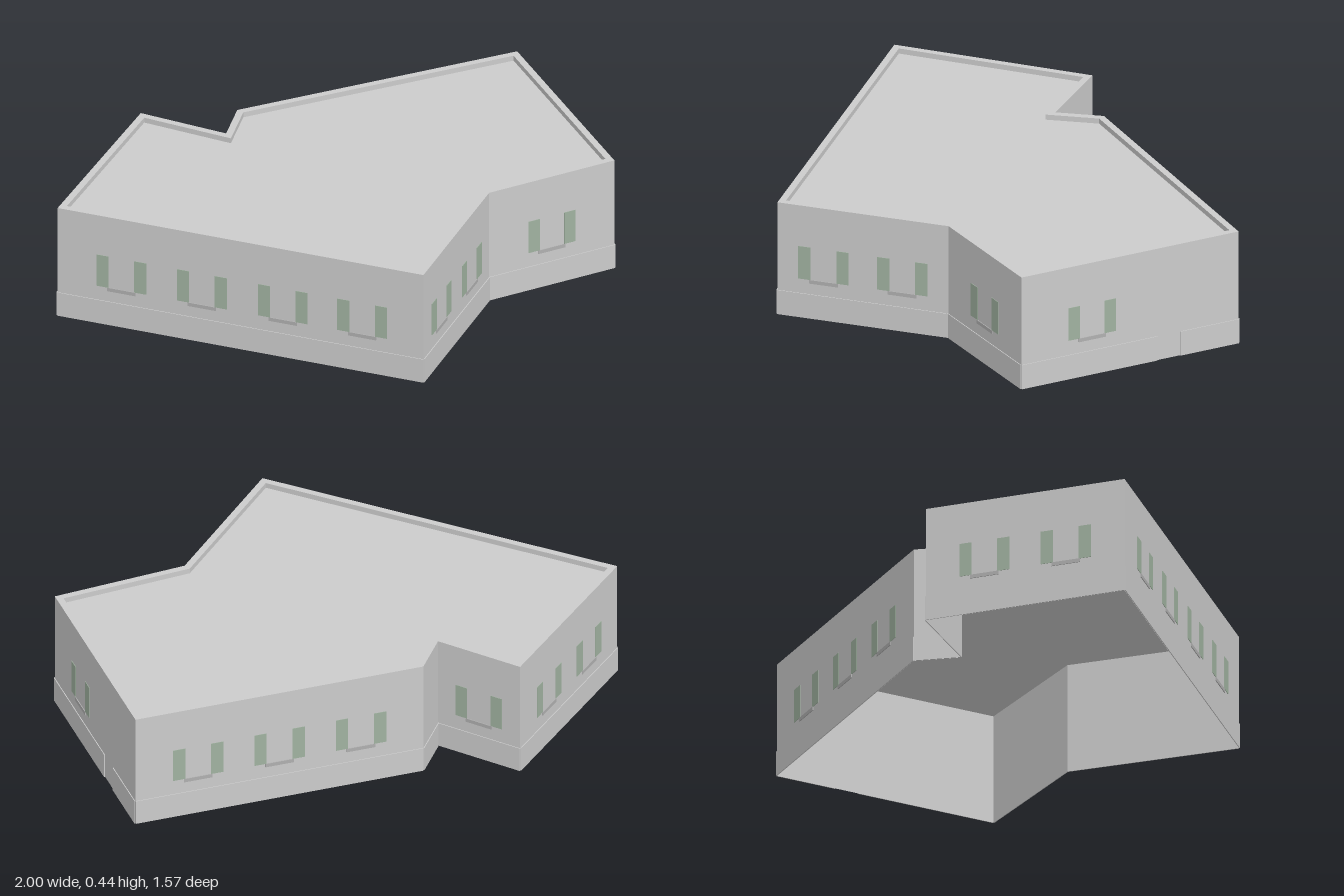
import * as THREE from 'three';

const HEIGHT = 0.44, COPING = 0.02, RIM = 0.025, PLINTH = 0.095;
const ROOF = HEIGHT - COPING;

// Footprint corners [x, z], counter-clockwise seen from above
const corners = [
  [-0.325, 0.778], [0.245, 0.475], [0.74, 0.587], [0.995, -0.245],
  [-0.045, -0.572], [-0.187, -0.468], [-0.322, -0.78], [-1, -0.447],
].map(([x, z]) => new THREE.Vector2(x, z));

// Per wall, starting at the matching corner: window-pair centres as fractions, optional doorway gap
const walls = [
  { name: 'frontLeftWall', pairs: [0.27, 0.73] },
  { name: 'frontWall', pairs: [0.5] },
  { name: 'entranceWall', pairs: [0.325], gap: [0.625, 0.73] },
  { name: 'backWall', pairs: [0.217, 0.5, 0.783] },
  { name: 'notchShortWall', pairs: [] },
  { name: 'notchLongWall', pairs: [0.5] },
  { name: 'backRightWall', pairs: [0.295, 0.705] },
  { name: 'longWall', pairs: [0.175, 0.395, 0.616, 0.833] },
];

const paint = (color, side = THREE.FrontSide) => new THREE.MeshStandardMaterial({ color, side });
const wallMat = paint(0xcccccc, THREE.DoubleSide);
const plinthMat = paint(0xbebebe);
const glassMat = paint(0xa0b2a0);
const sillMat = paint(0xb0b0b0);

function add(parent, name, geometry, material, x = 0, y = 0, z = 0) {
  const mesh = new THREE.Mesh(geometry, material);
  mesh.name = name;
  mesh.position.set(x, y, z);
  parent.add(mesh);
  return mesh;
}

// Thin panel standing just proud of a wall, from x0,y0 to x1,y1
function panel(parent, name, material, x0, x1, y0, y1, depth) {
  add(parent, name, new THREE.BoxGeometry(x1 - x0, y1 - y0, depth), material,
    (x0 + x1) / 2, (y0 + y1) / 2, depth / 2 + 0.001);
}

// Wall in its own frame: x along the wall, z outward
function buildWall(p, q, { name, pairs, gap }) {
  const wall = new THREE.Group();
  const length = p.distanceTo(q);
  wall.name = name;
  wall.position.set(p.x, 0, p.y);
  wall.rotation.y = Math.atan2(-(q.y - p.y), q.x - p.x);
  add(wall, 'wallFace', new THREE.PlaneGeometry(length, ROOF), wallMat, length / 2, ROOF / 2);

  // Plinth, interrupted at the doorway
  const runs = gap ? [[0, gap[0]], [gap[1], 1]] : [[0, 1]];
  for (const [a, b] of runs) panel(wall, 'plinth', plinthMat, a * length, b * length, 0, PLINTH, 0.003);

  // Window pairs joined by a low sill
  for (const f of pairs) {
    const c = f * length;
    for (const s of [-1, 1]) {
      const x = c + s * 0.072;
      panel(wall, 'window', glassMat, x - 0.023, x + 0.023, 0.152, 0.28, 0.002);
    }
    panel(wall, 'sill', sillMat, c - 0.054, c + 0.054, 0.138, 0.152, 0.003);
  }
  return wall;
}

// Mitred inward offset of the footprint
function inset(points, d) {
  const n = points.length;
  const inward = (a, b) => new THREE.Vector2(b.y - a.y, a.x - b.x).normalize();
  return points.map((p, i) => {
    const n1 = inward(points[(i + n - 1) % n], p);
    const n2 = inward(p, points[(i + 1) % n]);
    const m = n1.clone().add(n2);
    return p.clone().addScaledVector(m, d / (1 + n1.dot(n2)));
  });
}

export function createModel() {
  const model = new THREE.Group();
  model.name = 'building';
  corners.forEach((p, i) => model.add(buildWall(p, corners[(i + 1) % corners.length], walls[i])));

  // Shapes are drawn with y = -z, then laid flat
  const flat = (pts) => pts.map((p) => new THREE.Vector2(p.x, -p.y));
  const inner = flat(inset(corners, RIM));

  // Raised rim around the roof
  const ring = new THREE.Shape(flat(corners));
  ring.holes.push(new THREE.Path(inner));
  const rim = new THREE.ExtrudeGeometry(ring, { depth: COPING, bevelEnabled: false });
  add(model, 'parapetRim', rim.rotateX(-Math.PI / 2), paint(0xcccccc), 0, ROOF);

  // Roof deck
  const deck = new THREE.ShapeGeometry(new THREE.Shape(inner)).rotateX(-Math.PI / 2);
  add(model, 'roofDeck', deck, wallMat, 0, ROOF);
  return model;
}
